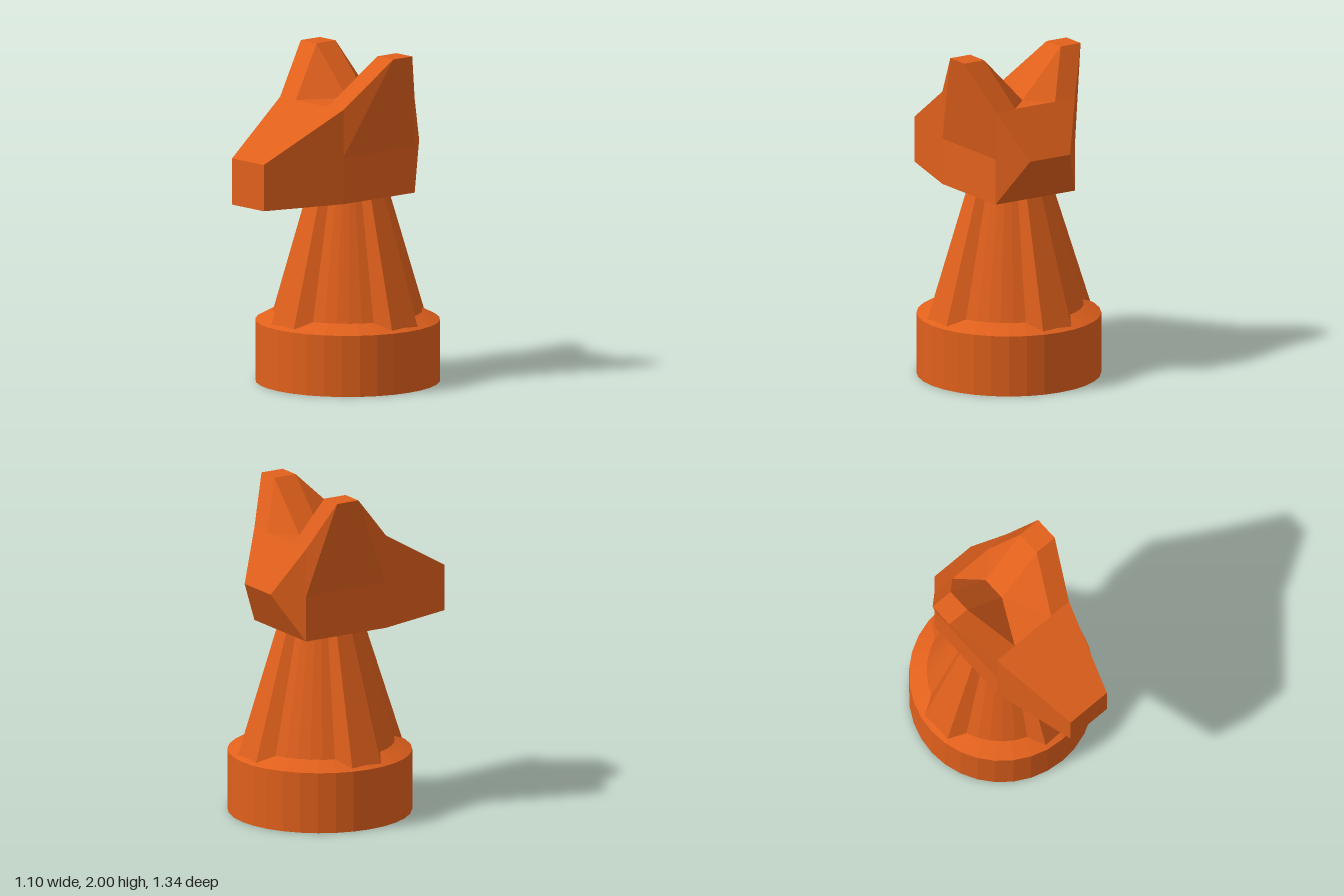
import * as THREE from 'three';

const CENTER_Z = -0.12;

// Turned base: drum with a shallow cone on top
function makeBase(material) {
  const profile = [[0, 0], [0.55, 0], [0.55, 0.37], [0.3, 0.5], [0, 0.5]].map(([r, y]) => new THREE.Vector2(r, y));
  const mesh = new THREE.Mesh(new THREE.LatheGeometry(profile, 32), material);
  mesh.name = 'base';
  mesh.position.z = CENTER_Z;
  return mesh;
}

// Tapered stem: four flat ridges standing out from a round core
function makeStem(material) {
  const points = [];
  for (let side = 0; side < 4; side++) {
    const turn = side * Math.PI / 2;
    const add = (r, a) => points.push(new THREE.Vector2(r * Math.cos(a + turn), r * Math.sin(a + turn)));
    const half = Math.atan2(0.1, 0.51);
    add(Math.hypot(0.1, 0.51), -half);
    add(Math.hypot(0.1, 0.51), half);
    for (let i = 0; i <= 5; i++) add(0.452, THREE.MathUtils.degToRad(21 + i * 9.6));
  }
  const geometry = new THREE.ExtrudeGeometry(new THREE.Shape(points), { depth: 0.8, bevelEnabled: false });
  geometry.rotateX(-Math.PI / 2);
  geometry.translate(0, 0.36, 0);
  const pos = geometry.attributes.position;
  for (let i = 0; i < pos.count; i++) {
    const scale = 1 - (pos.getY(i) - 0.4) * 0.63;
    pos.setX(i, pos.getX(i) * scale);
    pos.setZ(i, pos.getZ(i) * scale);
  }
  geometry.computeVertexNormals();
  const mesh = new THREE.Mesh(geometry, material);
  mesh.name = 'stem';
  mesh.position.z = CENTER_Z;
  return mesh;
}

// Angular horse head: left half described by corners and faces, then mirrored
function makeHead(material) {
  const low = 1.14, mid = 1.42, high = 1.71, top = 2;
  const nose = 0.67, brow = 0.165, earFront = -0.115, earBack = -0.265, nape = -0.4;
  const inner = 0.143, outer = 0.285;
  const corners = {
    // snout
    a: [0, low, nose], b: [inner, low, nose], c: [inner, mid, nose], d: [0, mid, nose],
    // brow
    e: [outer, low, brow], f: [outer, mid, brow], g: [outer, high, brow], h: [inner, high, brow], i: [0, high, brow],
    // ear tip, cheek and valley
    j: [0.275, top, earFront], k: [0.417, top, earFront], l: [0.417, top, earBack], m: [0.275, top, earBack],
    n: [outer, mid, earFront], o: [0, high, earFront], p: [0, high, earBack],
    // nape
    q: [outer, low, nape], r: [outer, mid, nape], s: [outer, high, nape], t: [inner, high, nape],
    u: [0, high, nape], v: [inner, mid, -0.56], w: [0, mid, -0.56], x: [0, low, nape],
  };
  const faces = [
    'abcd', 'befc', 'cfg', 'dchi', 'cgh',  // snout
    'hgkj', 'jklm', 'stml',                // ear
    'fnkg', 'nrlk', 'rsl', 'eqrnf',        // cheek
    'hjoi', 'ojmp', 'tupm',                // valley between the ears
    'svwu', 'vqxw', 'qvs',                 // nape
    'xqeba',                               // underside
  ];
  const positions = [];
  for (const side of [1, -1]) {
    const put = (key) => {
      const [x, y, z] = corners[key];
      positions.push(x * side, y, z);
    };
    for (const face of faces) {
      for (let i = 1; i < face.length - 1; i++) {
        const tri = [face[0], face[i], face[i + 1]];
        (side > 0 ? tri : tri.reverse()).forEach(put);
      }
    }
  }
  const geometry = new THREE.BufferGeometry();
  geometry.setAttribute('position', new THREE.Float32BufferAttribute(positions, 3));
  geometry.computeVertexNormals();
  const mesh = new THREE.Mesh(geometry, material);
  mesh.name = 'head';
  return mesh;
}

export function createModel() {
  const material = new THREE.MeshStandardMaterial({ color: 0xe0601c, flatShading: true });
  const group = new THREE.Group();
  group.name = 'chessKnight';
  group.add(makeBase(material), makeStem(material), makeHead(material));
  return group;
}
